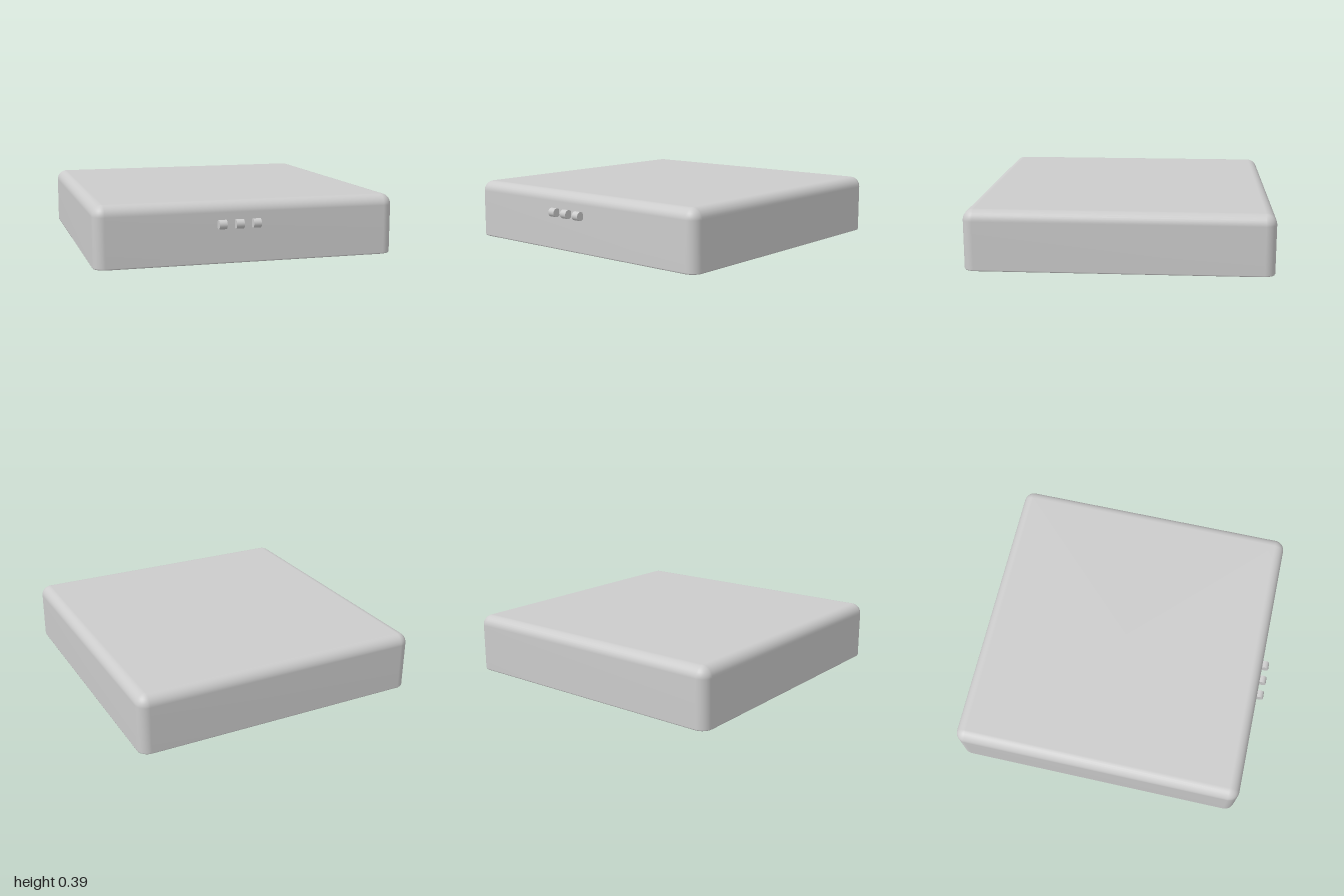
import * as THREE from 'three';
import { mergeVertices } from 'three/addons/utils/BufferGeometryUtils.js';

const HALF = 0.975;   // half side of the square lid
const HEIGHT = 0.39;
const CENTRE_Z = -0.025;
const CORNER = 8;     // segments per rounded corner

// Rounded-square loop: half size h, corner radius r, height y
function ring(h, r, y) {
  const points = [];
  for (let q = 0; q < 4; q++) {
    const cx = (q === 0 || q === 3 ? 1 : -1) * (h - r);
    const cz = (q < 2 ? 1 : -1) * (h - r);
    for (let i = 0; i <= CORNER; i++) {
      const a = (q + i / CORNER) * Math.PI / 2;
      points.push(cx + r * Math.cos(a), y, cz + r * Math.sin(a));
    }
  }
  return points;
}

// Rounded edge from the flat top or ceiling (k = 0) down to the wall (k = 1)
function fillet(h, r, f, top, reverse) {
  const rings = [];
  for (let i = 0; i <= CORNER; i++) {
    const k = reverse ? 1 - i / CORNER : i / CORNER;
    const inset = f * (1 - Math.sin(k * Math.PI / 2));
    const y = top - f * (1 - Math.cos(k * Math.PI / 2));
    rings.push(ring(h - inset, Math.max(r - inset, 0), y));
  }
  return rings;
}

function lidGeometry() {
  const inner = HALF - 0.05, ceiling = 0.29, r = 0.07;
  const rings = [
    ring(0, 0, HEIGHT),                          // middle of the top
    ...fillet(HALF, r, r, HEIGHT, false),        // outer top edge
    ring(HALF, r, 0.01),                         // outer wall
    ring(HALF - 0.003, r, 0.003),
    ring(HALF - 0.01, r, 0),                     // rim
    ring(inner + 0.005, r, 0),
    ring(inner, r, 0.005),                       // inner wall
    ...fillet(inner, r, 0.05, ceiling, true),    // inner ceiling edge
    ring(0, 0, ceiling),                         // middle of the ceiling
  ];
  const n = 4 * (CORNER + 1);
  const index = [];
  for (let i = 0; i < rings.length - 1; i++) {
    for (let j = 0; j < n; j++) {
      const k = (j + 1) % n;
      const a = i * n + j, b = i * n + k, c = a + n, d = b + n;
      index.push(a, b, c, b, d, c);
    }
  }
  const geometry = new THREE.BufferGeometry();
  geometry.setAttribute('position', new THREE.Float32BufferAttribute(rings.flat(), 3));
  geometry.setIndex(index);
  const merged = mergeVertices(geometry);
  merged.computeVertexNormals();
  return merged;
}

export function createModel() {
  const group = new THREE.Group();
  const material = new THREE.MeshStandardMaterial({ color: 0xcccccc });

  // Hollow lid, open underneath
  const lid = new THREE.Mesh(lidGeometry(), material);
  lid.name = 'lid';
  lid.position.z = CENTRE_Z;
  group.add(lid);

  // Three short rollers on the front
  const rollerGeometry = new THREE.CylinderGeometry(0.029, 0.029, 0.05, 32).rotateZ(Math.PI / 2);
  for (let i = 0; i < 3; i++) {
    const roller = new THREE.Mesh(rollerGeometry, material);
    roller.name = 'roller' + (i + 1);
    roller.position.set(-0.185 + i * 0.11, 0.25, 0.971);
    group.add(roller);
  }
  return group;
}
